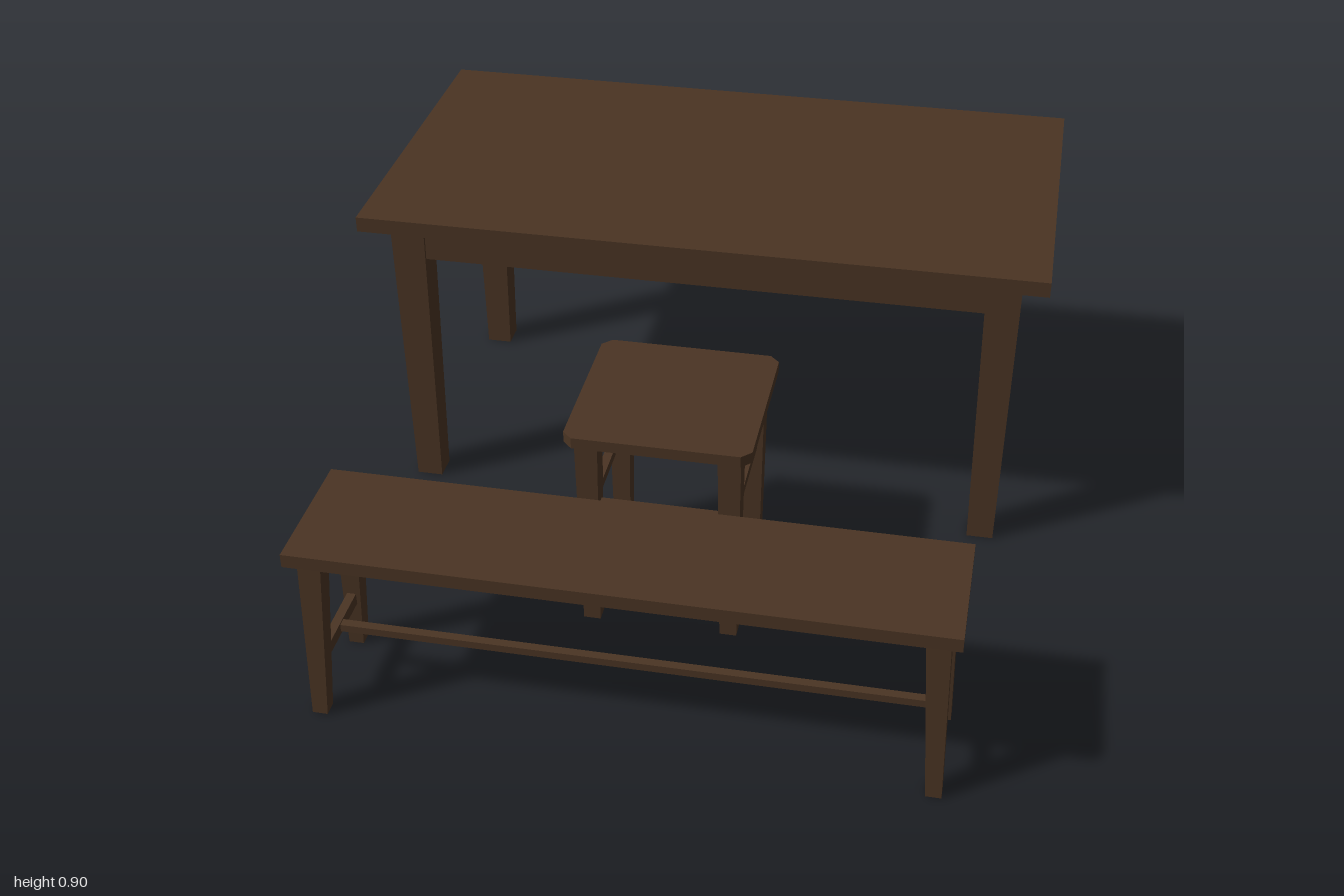
import * as THREE from 'three';

const wood = new THREE.MeshStandardMaterial({ color: 0x4a3423 });
wood.name = 'darkWood';

function add(group, name, geometry, x = 0, y = 0, z = 0) {
  const mesh = new THREE.Mesh(geometry, wood);
  mesh.name = name;
  mesh.position.set(x, y, z);
  group.add(mesh);
  return mesh;
}

// Box given by its size, its bottom height and its centre
function slab(group, name, w, h, d, x, bottom, z) {
  return add(group, name, new THREE.BoxGeometry(w, h, d), x, bottom + h / 2, z);
}

// Four square legs, tapered and splayed from the top centre to the foot centre
function addLegs(group, height, top, foot) {
  for (const sx of [-1, 1]) {
    for (const sz of [-1, 1]) {
      const geometry = new THREE.BoxGeometry(1, height, 1);
      const p = geometry.attributes.position;
      for (let i = 0; i < p.count; i++) {
        const end = p.getY(i) > 0 ? top : foot;
        p.setX(i, sx * end.x + p.getX(i) * end.size);
        p.setZ(i, sz * end.z + p.getZ(i) * end.size);
      }
      geometry.computeVertexNormals();
      add(group, 'leg', geometry, 0, height / 2, 0);
    }
  }
}

function createTable() {
  const table = new THREE.Group();
  table.name = 'table';
  slab(table, 'tableTop', 1.88, 0.043, 1, 0, 0.857, 0);
  addLegs(table, 0.857, { x: 0.822, z: 0.384, size: 0.096 }, { x: 0.822, z: 0.384, size: 0.074 });
  // Aprons between the legs
  for (const s of [-1, 1]) {
    slab(table, 'longApron', 1.57, 0.112, 0.035, 0, 0.745, s * 0.405);
    slab(table, 'shortApron', 0.035, 0.112, 0.69, s * 0.843, 0.745, 0);
  }
  return table;
}

function createStool() {
  const stool = new THREE.Group();
  stool.name = 'stool';
  // Seat with clipped corners
  const w = 0.245, d = 0.241, c = 0.026;
  const outline = new THREE.Shape([
    [w, c - d], [w, d - c], [w - c, d], [c - w, d],
    [-w, d - c], [-w, c - d], [c - w, -d], [w - c, -d],
  ].map(([x, y]) => new THREE.Vector2(x, y)));
  const seat = new THREE.ExtrudeGeometry(outline, { depth: 0.031, bevelEnabled: false });
  seat.rotateX(-Math.PI / 2);
  add(stool, 'stoolSeat', seat, 0, 0.579, 0);
  addLegs(stool, 0.579, { x: 0.187, z: 0.188, size: 0.061 }, { x: 0.187, z: 0.188, size: 0.046 });
  // Rungs on all four sides
  for (const s of [-1, 1]) {
    slab(stool, 'rung', 0.33, 0.026, 0.024, 0, 0.359, s * 0.188);
    slab(stool, 'rung', 0.024, 0.026, 0.33, s * 0.187, 0.359, 0);
  }
  return stool;
}

function createBench() {
  const bench = new THREE.Group();
  bench.name = 'bench';
  slab(bench, 'benchSeat', 1.64, 0.037, 0.36, 0, 0.486, 0);
  addLegs(bench, 0.486, { x: 0.763, z: 0.122, size: 0.06 }, { x: 0.783, z: 0.14, size: 0.04 });
  // Cross rails at the ends, joined by one long rail
  for (const s of [-1, 1]) {
    slab(bench, 'crossRail', 0.024, 0.033, 0.24, s * 0.776, 0.144, 0);
  }
  slab(bench, 'longRail', 1.54, 0.021, 0.024, 0, 0.152, 0);
  return bench;
}

export function createModel() {
  const model = new THREE.Group();
  model.name = 'diningSet';
  const table = createTable();
  table.position.z = -0.5;
  const stool = createStool();
  stool.position.z = 0.27;
  const bench = createBench();
  bench.position.z = 0.82;
  model.add(table, stool, bench);
  return model;
}
